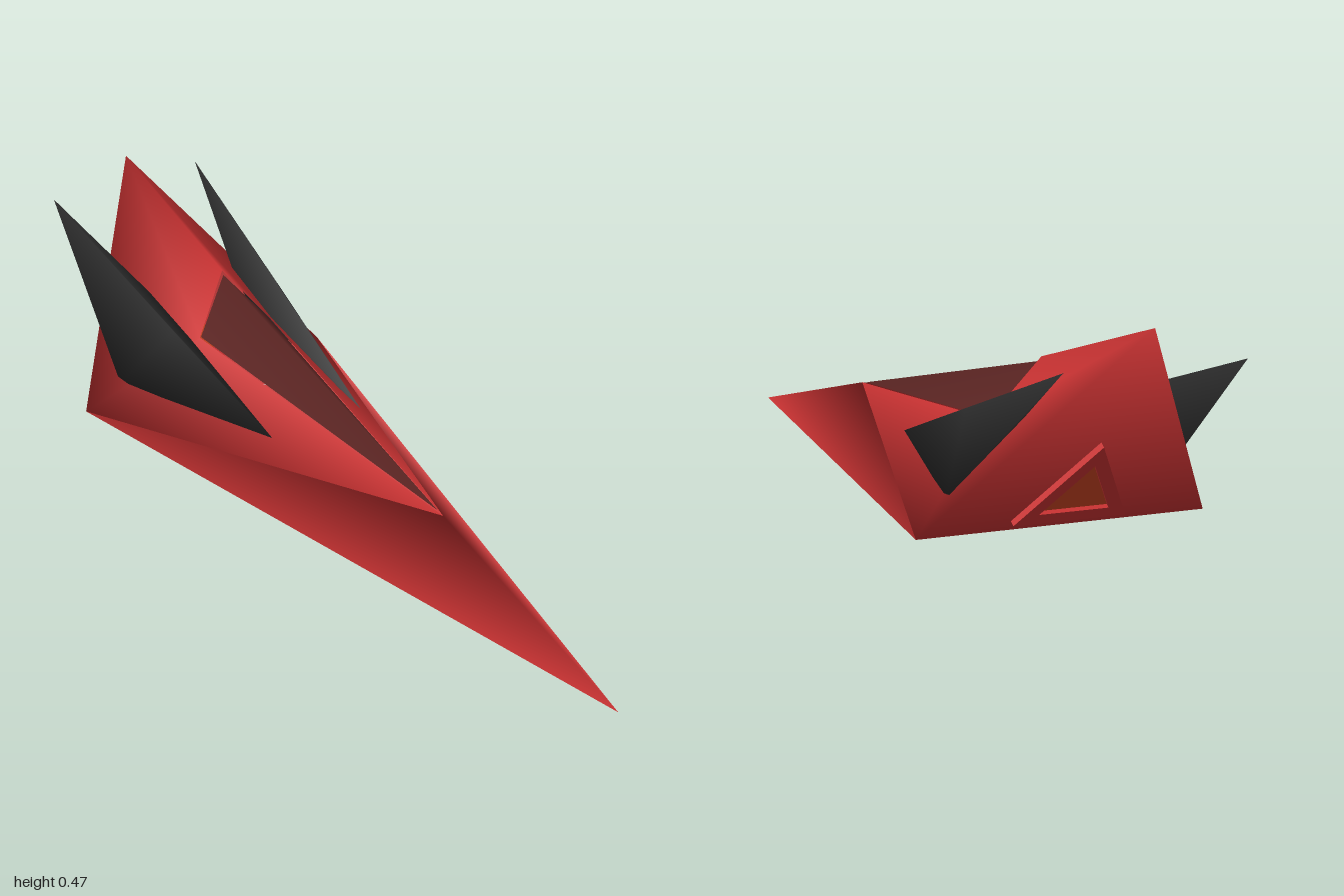
import * as THREE from 'three';
import { mergeVertices } from 'three/addons/utils/BufferGeometryUtils.js';
import { ConvexGeometry } from 'three/addons/geometries/ConvexGeometry.js';

const paint = (color) => new THREE.MeshStandardMaterial({ color, side: THREE.DoubleSide });
const red = paint(0xcc3333);
const darkRed = paint(0x5a2422);
const black = paint(0x2b2b2b);
const grey = paint(0xcccccc);
const orange = paint(0xcc4422);

function part(name, geometry, material) {
  const mesh = new THREE.Mesh(geometry, material);
  mesh.name = name;
  return mesh;
}

// Smooth-shaded surface from named corner points and triangles
function facets(corners, triangles) {
  const keys = Object.keys(corners);
  const geometry = new THREE.BufferGeometry();
  geometry.setAttribute('position', new THREE.Float32BufferAttribute(Object.values(corners).flat(), 3));
  geometry.setIndex(triangles.flatMap((t) => t.split(' ').map((k) => keys.indexOf(k))));
  geometry.computeVertexNormals();
  return geometry;
}

// Equilateral triangle, base on y = 0, optionally scaled about its centre
function triangle(height, scale = 1, PathType = THREE.Shape) {
  const half = (height / Math.sqrt(3)) * scale;
  const mid = height / 3;
  const low = mid - mid * scale;
  const path = new PathType();
  path.moveTo(-half, low);
  path.lineTo(half, low);
  path.lineTo(0, mid + (height - mid) * scale);
  path.closePath();
  return path;
}

// Triangular frame around a recessed plate, facing +z
function triangularFrame(name, height, depth, frameMaterial, plateMaterial) {
  const group = new THREE.Group();
  group.name = name;
  const shape = triangle(height);
  shape.holes.push(triangle(height, 0.62, THREE.Path));
  const frame = new THREE.ExtrudeGeometry(shape, { depth, bevelEnabled: false });
  const plate = new THREE.ExtrudeGeometry(triangle(height, 0.62), { depth: depth * 0.3, bevelEnabled: false });
  group.add(part(name + 'Frame', frame, frameMaterial), part(name + 'Plate', plate, plateMaterial));
  return group;
}

export function createModel() {
  const model = new THREE.Group();
  model.name = 'dartCraft';

  // Hull: long wedge with a raised tail cowl and sloping back
  model.add(part('hull', facets({
    nose: [0, 0.02, 0.99],
    cornerL: [0.33, 0.02, -0.63],
    cornerR: [-0.33, 0.02, -0.63],
    crest: [0, 0.155, 0.38],
    shoulderL: [0.095, 0.22, -0.48],
    shoulderR: [-0.095, 0.22, -0.48],
    cowl: [0, 0.35, -0.53],
    tail: [0, 0.47, -0.985],
  }, [
    'nose cornerL crest', 'crest cornerL shoulderL', 'shoulderL cornerL tail', 'shoulderL tail cowl',
    'nose crest cornerR', 'crest shoulderR cornerR', 'shoulderR tail cornerR', 'shoulderR cowl tail',
    'nose cornerR cornerL', 'cornerL cornerR tail',
  ]), red));

  // Canopy: narrow ridged dart running back into the cowl
  model.add(part('canopy', facets({
    tip: [0, 0.158, 0.36],
    left: [0.092, 0.221, -0.48],
    right: [-0.092, 0.221, -0.48],
    top: [0, 0.34, -0.525],
  }, ['tip left top', 'tip top right', 'left right top']), darkRed));

  // Fins: swept blades on both flanks
  for (const side of [1, -1]) {
    const points = [
      [0.2, 0.4, -0.995], [0.12, 0.135, -0.12], [0.25, 0.09, -0.6],
      [0.105, 0.24, -0.64], [0.101, 0.21, -0.57], [0.157, 0.25, -0.5],
    ].map(([x, y, z]) => new THREE.Vector3(x * side, y, z));
    let blade = new ConvexGeometry(points);
    blade.deleteAttribute('normal');
    blade = mergeVertices(blade);
    blade.computeVertexNormals();
    model.add(part(side > 0 ? 'leftFin' : 'rightFin', blade, black));
  }

  // Landing pads: triangles pointing forward under the hull
  for (const [name, height, depth, z] of [['frontPad', 0.15, 0.015, 0.5], ['rearPad', 0.34, 0.02, -0.51]]) {
    const pad = triangularFrame(name, height, depth, grey, grey);
    pad.rotation.x = Math.PI / 2;
    pad.position.set(0, 0.02, z);
    model.add(pad);
  }

  // Thruster: triangle lying on the sloping back
  const thruster = triangularFrame('thruster', 0.222, 0.014, red, orange);
  thruster.rotation.set(-Math.atan2(0.355, 0.45), Math.PI, 0);
  thruster.position.set(0, 0.042, -0.647);
  model.add(thruster);

  return model;
}
